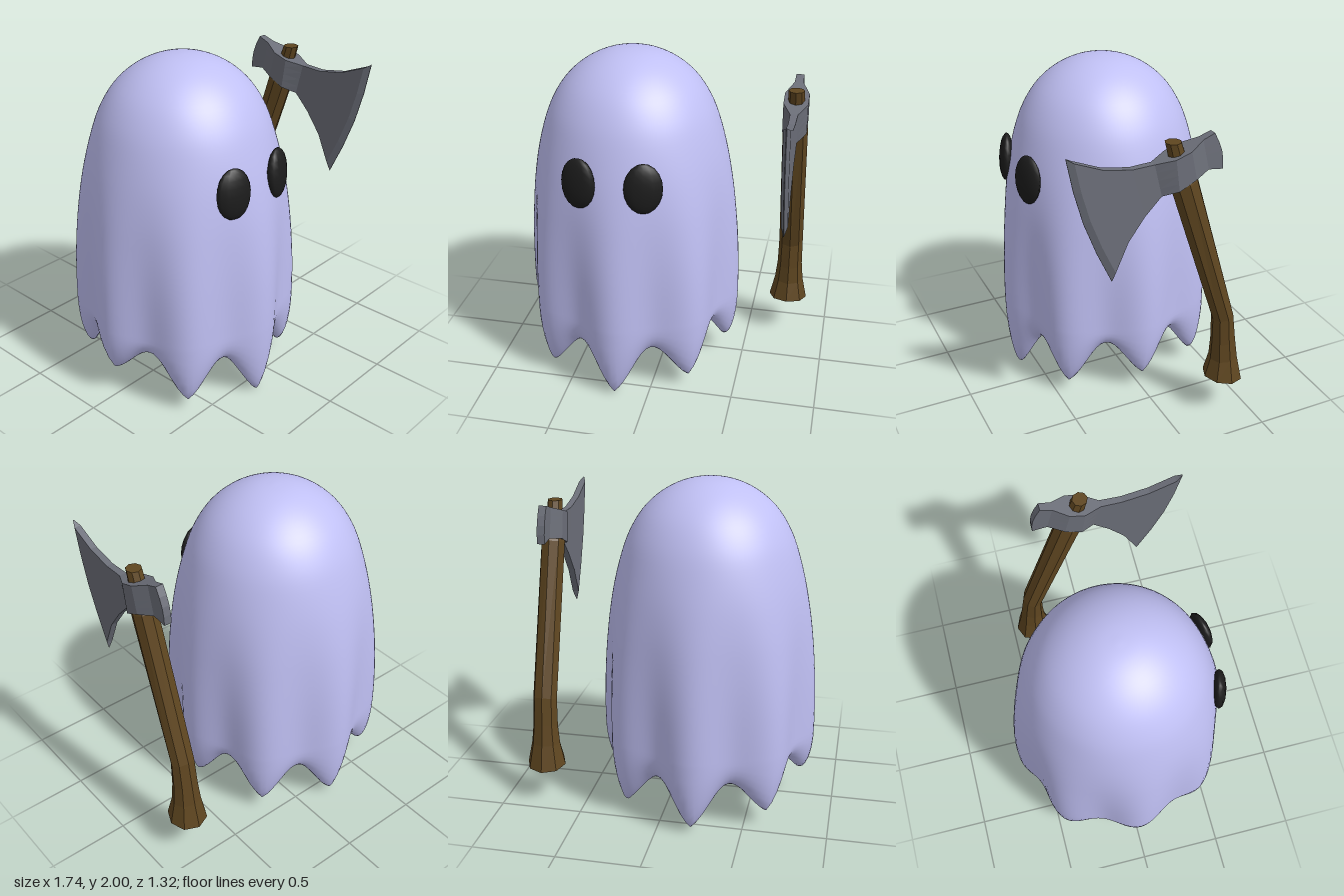
import * as THREE from 'three';
import { mergeVertices } from 'three/addons/utils/BufferGeometryUtils.js';

const V2 = (x, y) => new THREE.Vector2(x, y);

// Moves every vertex of a geometry by a rule and refreshes its normals
function reshape(geometry, rule) {
  const p = geometry.attributes.position;
  const v = new THREE.Vector3();
  for (let i = 0; i < p.count; i++) {
    v.fromBufferAttribute(p, i);
    rule(v);
    p.setXYZ(i, v.x, v.y, v.z);
  }
  geometry.computeVertexNormals();
  return geometry;
}

function part(name, geometry, color, options = {}) {
  const mesh = new THREE.Mesh(geometry, new THREE.MeshStandardMaterial({ color, ...options }));
  mesh.name = name;
  return mesh;
}

// Draped sheet: a dome with eight folds, a rounded scalloped hem and a hollow inside
function sheetGeometry() {
  const profile = new THREE.SplineCurve([
    V2(0, 2), V2(0.1, 1.991), V2(0.2, 1.96), V2(0.3, 1.903), V2(0.39, 1.82), V2(0.46, 1.715),
    V2(0.513, 1.59), V2(0.565, 1.4), V2(0.6, 1.2), V2(0.62, 1), V2(0.631, 0.8), V2(0.635, 0.6),
    V2(0.635, 0.45),
  ]);
  const tips = [0, 0.075, 0.12, 0.08, 0.03, 0.1, 0.19, 0.07]; // tip heights, from the front towards +x
  const OUT = 40, HEM = 14, IN = 24, ROWS = OUT + HEM + IN;
  const HALF = 0.08; // half the thickness at the hem

  const outer = (t, a) => {
    const p = profile.getPoint(t);
    const fold = 1 - THREE.MathUtils.smoothstep(p.y, 0.42, 1.6);
    p.x += fold * (0.031 * Math.cos(8 * a) - 0.004 * Math.cos(4 * a));
    return p;
  };

  const g = new THREE.PlaneGeometry(1, 1, 128, ROWS);
  g.deleteAttribute('uv');
  reshape(g, (v) => {
    const a = (v.x + 0.5) * Math.PI * 2;
    const row = Math.round((0.5 - v.y) * ROWS);
    const end = outer(1, a);
    let p;
    if (row <= OUT) {
      p = outer(row / OUT, a);
    } else if (row <= OUT + HEM) {
      const tip = tips[Math.round(a / (Math.PI / 4)) % 8];
      const notch = 0.32 - 0.035 * Math.cos(2 * a);
      const s = Math.abs(Math.sin(4 * a));
      const hem = THREE.MathUtils.lerp(notch, tip, 1 - 0.5 * (s + s * s));
      const b = ((row - OUT) / HEM) * Math.PI;
      p = V2(end.x - HALF + HALF * Math.cos(b), end.y - (end.y - hem) * Math.sin(b));
    } else {
      p = outer((ROWS - row) / IN, a);
      p.x *= 1 - (2 * HALF) / end.x;
      p.y = end.y + (p.y - end.y) * 0.92;
    }
    v.set(p.x * Math.sin(a), p.y, p.x * Math.cos(a));
  });
  // Weld the seam and the pole so the shading stays smooth
  g.deleteAttribute('normal');
  const welded = mergeVertices(g);
  welded.computeVertexNormals();
  return welded;
}

// Octagonal handle, bent near the flared foot: [y, z, half width, half depth, tilt]
function handleGeometry() {
  const rings = [
    [1.82, 0.025, 0.046, 0.046, 0],
    [1.7, -0.01, 0.048, 0.05, -0.2],
    [1.58, -0.046, 0.073, 0.078, -0.3],
    [0.67, -0.332, 0.075, 0.06, -0.35],
    [0.5, -0.345, 0.078, 0.072, -0.25],
    [0.38, -0.352, 0.09, 0.084, -0.1],
    [0.24, -0.354, 0.12, 0.118, 0.13],
  ];
  return reshape(new THREE.CylinderGeometry(1, 1, 1, 8, rings.length - 1), (v) => {
    const [y, z, rx, rz, tilt] = rings[Math.round((0.5 - v.y) * (rings.length - 1))];
    v.set(v.x * rx, y + tilt * v.z * rz, z + v.z * rz);
  });
}

// Axe head from cutting edge to back: [top z, top y, bottom z, bottom y, half thickness, bulge]
function headGeometry() {
  const stations = [
    [0.625, 1.835, 0.375, 1.07, 0.002, 0.035],
    [0.585, 1.81, 0.36, 1.13, 0.02, 0.03],
    [0.43, 1.745, 0.285, 1.3, 0.02, 0.01],
    [0.27, 1.715, 0.19, 1.43, 0.02, 0],
    [0.14, 1.72, 0.095, 1.53, 0.022, 0],
    [0.04, 1.745, 0.015, 1.56, 0.07, 0],
    [-0.05, 1.775, -0.085, 1.61, 0.07, 0],
    [-0.14, 1.81, -0.18, 1.634, 0.026, 0],
    [-0.21, 1.835, -0.27, 1.62, 0.023, -0.018],
  ];
  const n = stations.length - 1;
  return reshape(new THREE.BoxGeometry(1, 1, 1, 1, 4, n), (v) => {
    const [tz, ty, bz, by, half, bulge] = stations[Math.round((0.5 - v.z) * n)];
    const k = v.y + 0.5;
    v.set(
      Math.sign(v.x) * half,
      THREE.MathUtils.lerp(by, ty, k),
      THREE.MathUtils.lerp(bz, tz, k) + bulge * Math.sin(Math.PI * k),
    );
  });
}

export function createModel() {
  const model = new THREE.Group();
  model.name = 'ghostWithAxe';

  // Ghost
  const ghost = new THREE.Group();
  ghost.name = 'ghost';
  ghost.position.x = -0.205;
  ghost.add(part('sheet', sheetGeometry(), 0xc0c0f4));
  for (const side of [-1, 1]) {
    const eye = part(side < 0 ? 'rightEye' : 'leftEye', new THREE.SphereGeometry(1, 12, 10), 0x1c1c1c);
    eye.scale.set(0.11, 0.148, 0.042);
    eye.position.set(side * 0.186, 1.38, 0.552);
    eye.rotation.set(-0.08, side * 0.28, 0, 'YXZ');
    ghost.add(eye);
  }
  model.add(ghost);

  // Axe
  const axe = new THREE.Group();
  axe.name = 'axe';
  axe.position.x = 0.75;
  axe.add(part('handle', handleGeometry(), 0x5f4620, { flatShading: true }));
  axe.add(part('axeHead', headGeometry(), 0x6c6f79, { flatShading: true }));
  model.add(axe);

  return model;
}
